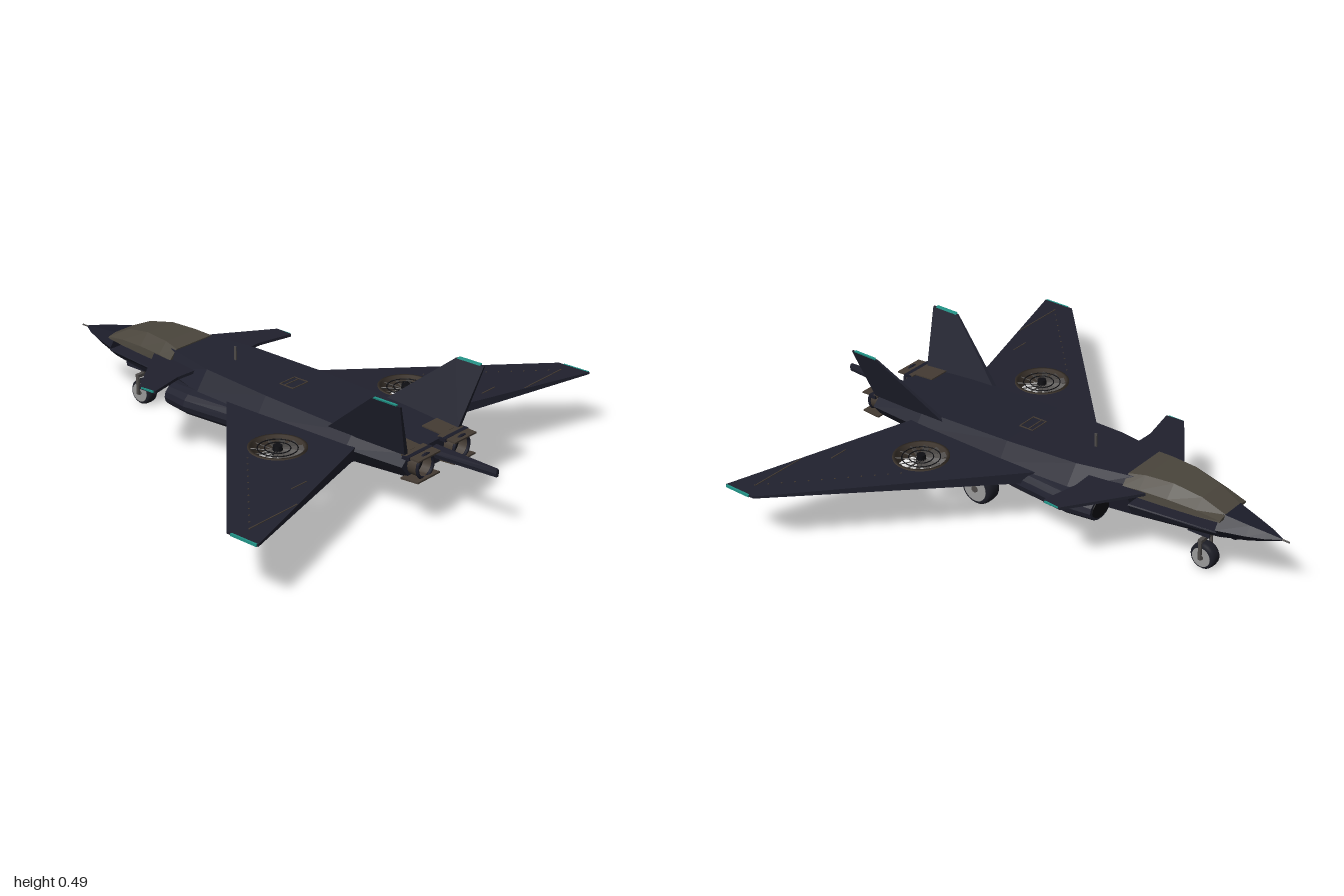
import * as THREE from 'three';

const mat = (name, color, side = THREE.FrontSide) => {
  const m = new THREE.MeshStandardMaterial({ color, side });
  m.name = name;
  return m;
};

export function createModel() {
  const hull = mat('hull navy', 0x20212e);
  const noseDark = mat('nose navy', 0x1b1c29);
  const glass = mat('canopy bronze', 0x4a453c);
  const metal = mat('exhaust bronze', 0x443b33, THREE.DoubleSide);
  const dark = mat('dark recess', 0x0e0e12);
  const teal = mat('teal light', 0x229488);
  const tire = mat('tire', 0x1c1d26);
  const rim = mat('wheel rim grey', 0x9a9a9a);
  const steel = mat('gear steel', 0x4d4a48, THREE.DoubleSide);

  const model = new THREE.Group();
  const add = (name, geo, material, x = 0, y = 0, z = 0) => {
    const m = new THREE.Mesh(geo, material);
    m.name = name;
    m.position.set(x, y, z);
    model.add(m);
    return m;
  };
  const box = (name, m, w, h, d, x, y, z) => add(name, new THREE.BoxGeometry(w, h, d), m, x, y, z);

  // Flat-faced skin through matching rings of points, capped at both ends
  const loft = (rings) => {
    const n = rings[0].length, tris = [];
    for (let i = 0; i + 1 < rings.length; i++) {
      for (let j = 0; j < n; j++) {
        const k = (j + 1) % n, a = rings[i], b = rings[i + 1];
        tris.push([a[j], b[j], b[k]], [a[j], b[k], a[k]]);
      }
    }
    const first = rings[0], last = rings[rings.length - 1];
    for (let j = 1; j + 1 < n; j++) {
      tris.push([first[0], first[j], first[j + 1]], [last[0], last[j + 1], last[j]]);
    }
    // Turn the faces outward whichever way the rings run
    let vol = 0;
    for (const [a, b, c] of tris) {
      vol += new THREE.Vector3(...a).dot(new THREE.Vector3(...b).cross(new THREE.Vector3(...c)));
    }
    const pos = tris.flatMap(t => (vol < 0 ? [t[0], t[2], t[1]] : t).flat());
    const g = new THREE.BufferGeometry();
    g.setAttribute('position', new THREE.Float32BufferAttribute(pos, 3));
    g.computeVertexNormals();
    return g;
  };
  // Six-sided ring: half widths at top, middle and bottom, then the heights
  const hex = ([z, t, m, b, yT, yM, yB]) =>
    [[-t, yT, z], [t, yT, z], [m, yM, z], [b, yB, z], [-b, yB, z], [-m, yM, z]];

  // Horizontal plate from x,z corners, top at y = 0
  const plate = (pts, depth, s, hole) => {
    const shape = new THREE.Shape(pts.map(([x, z]) => new THREE.Vector2(s * x, z)));
    if (hole) shape.holes.push(new THREE.Path().absarc(s * hole[0], hole[1], hole[2], 0, Math.PI * 2));
    return new THREE.ExtrudeGeometry(shape, { depth, bevelEnabled: false, curveSegments: 32 }).rotateX(Math.PI / 2);
  };

  // Fuselage, nose, cockpit tub and canopy
  add('fuselage', loft([
    [-0.42, 0.095, 0.128, 0.10, 0.322, 0.25, 0.17],
    [-0.20, 0.135, 0.19, 0.13, 0.313, 0.24, 0.165],
    [0.10, 0.15, 0.195, 0.14, 0.302, 0.235, 0.162],
    [0.50, 0.15, 0.19, 0.14, 0.285, 0.235, 0.17],
    [0.73, 0.13, 0.17, 0.13, 0.268, 0.23, 0.18]].map(hex)), hull);
  add('nose', loft([
    [-0.97, 0.002, 0.005, 0.002, 0.239, 0.235, 0.231],
    [-0.92, 0.015, 0.034, 0.015, 0.25, 0.234, 0.217],
    [-0.86, 0.03, 0.058, 0.03, 0.262, 0.233, 0.202],
    [-0.755, 0.05, 0.087, 0.05, 0.281, 0.23, 0.185]].map(hex)), noseDark);
  add('cockpitTub', loft([
    [-0.76, 0.085, 0.087, 0.05, 0.225, 0.22, 0.185],
    [-0.42, 0.125, 0.128, 0.10, 0.225, 0.22, 0.17]].map(hex)), hull);
  add('canopy', loft([
    [-0.77, 0.045, 0.08, 0.082, 0.278, 0.27, 0.264],
    [-0.68, 0.055, 0.094, 0.098, 0.318, 0.286, 0.264],
    [-0.57, 0.068, 0.108, 0.112, 0.338, 0.293, 0.264],
    [-0.46, 0.08, 0.12, 0.123, 0.335, 0.294, 0.264],
    [-0.395, 0.092, 0.128, 0.13, 0.325, 0.29, 0.264]].map(hex)), glass);
  for (const z of [-0.65, -0.53]) {
    box('seat', dark, 0.07, 0.014, 0.06, 0, 0.231, z);
    box('seatBack', dark, 0.06, 0.045, 0.015, 0, 0.245, z + 0.03);
  }
  add('pitotTube', new THREE.CylinderGeometry(0.003, 0.003, 0.06, 8).rotateX(Math.PI / 2), steel, 0, 0.235, -0.97);
  add('sensorBall', new THREE.SphereGeometry(0.026, 16, 12), noseDark, 0, 0.19, -0.785);
  box('antenna', steel, 0.005, 0.06, 0.01, 0, 0.335, -0.185);

  // Dorsal hatch outline
  for (const z of [0.07, 0.09, 0.13]) box('hatchLine', metal, 0.08, 0.003, 0.004, 0, 0.304 - (z - 0.07) * 0.035, z);
  for (const x of [-0.04, 0.04]) box('hatchLine', metal, 0.004, 0.003, 0.06, x, 0.303, 0.1);

  // Tail boom
  add('tailBoom', loft([
    [0.70, 0.022, 0.027, 0.022, 0.252, 0.236, 0.22],
    [1.0, 0.005, 0.008, 0.005, 0.25, 0.236, 0.222]].map(hex)), hull);

  for (const s of [1, -1]) {
    // Wing, thinning towards the tip, with an opening for the lift fan
    const wing = plate([[0.15, -0.09], [0.91, 0.62], [0.91, 0.755], [0.15, 0.525]], 1, s, [0.35, 0.335, 0.096]);
    const p = wing.attributes.position;
    for (let i = 0; i < p.count; i++) {
      const t = (Math.abs(p.getX(i)) - 0.15) / 0.76;
      p.setY(i, 0.246 - 0.004 * t + p.getY(i) * (0.045 - 0.037 * t));
    }
    wing.computeVertexNormals();
    add('wing', wing, hull);
    box('wingTipLight', teal, 0.007, 0.009, 0.11, s * 0.911, 0.238, 0.695);
    box('wingLine', metal, 0.23, 0.002, 0.004, s * 0.74, 0.244, 0.665);
    box('wingLine', metal, 0.075, 0.002, 0.004, s * 0.52, 0.245, 0.58);
    for (let i = 0; i < 12; i++) {
      box('rivet', metal, 0.005, 0.002, 0.005, s * (0.48 + i * 0.034), 0.2445, 0.265 + 0.032 * i + 0.05);
    }

    // Lift fan: duct, rim, hub and blades
    const duct = [[0.094, 0.19], [0.104, 0.19], [0.104, 0.248], [0.094, 0.248], [0.094, 0.19]];
    add('fanDuct', new THREE.LatheGeometry(duct.map(q => new THREE.Vector2(...q)), 32), metal, s * 0.35, 0, 0.335);
    add('fanHub', new THREE.CylinderGeometry(0.016, 0.02, 0.035, 16), dark, s * 0.35, 0.236, 0.335);
    for (let i = 0; i < 12; i++) {
      const g = new THREE.BoxGeometry(0.082, 0.003, 0.022).rotateX(0.6).translate(0.053, 0, 0);
      add('fanBlade', g.rotateY(i * Math.PI / 6), steel, s * 0.35, 0.23, 0.335);
    }
    for (const r of [0.045, 0.07]) {
      add('fanGuard', new THREE.TorusGeometry(r, 0.002, 6, 32).rotateX(Math.PI / 2), dark, s * 0.35, 0.243, 0.335);
    }

    // Canard
    add('canard', plate([[0.1, -0.5], [0.37, -0.31], [0.365, -0.235], [0.22, -0.265], [0.1, -0.26]], 0.011, s), hull, 0, 0.291);
    box('canardTipLight', teal, 0.006, 0.007, 0.06, s * 0.368, 0.287, -0.272);

    // Air intake
    const ring = ([z, cx, rx, ry]) => Array.from({ length: 14 }, (_, i) => {
      const a = i / 14 * Math.PI * 2;
      return [s * (cx + rx * Math.cos(a)), 0.195 + ry * Math.sin(a), z];
    });
    add('intake', loft([[-0.33, 0.165, 0.06, 0.045], [-0.22, 0.17, 0.072, 0.05],
      [0, 0.162, 0.062, 0.05], [0.25, 0.15, 0.05, 0.04], [0.5, 0.14, 0.04, 0.025]].map(ring)), hull);
    add('intakeMouth', loft([[-0.333, 0.165, 0.05, 0.036], [-0.329, 0.165, 0.05, 0.036]].map(ring)), dark);

    // Canted tail fin with a lit tip
    const fin = (x, y, z0, z1, w) => [[s * (x - w), y, z0], [s * (x + w), y, z0], [s * (x + w), y, z1], [s * (x - w), y, z1]];
    add('tailFin', loft([fin(0.148, 0.272, 0.39, 0.73, 0.009), fin(0.229, 0.482, 0.645, 0.765, 0.004)]), hull);
    add('tailFinLight', loft([fin(0.229, 0.481, 0.65, 0.75, 0.005), fin(0.231, 0.487, 0.655, 0.75, 0.005)]), teal);

    // Engine nozzle, vectoring paddles and heat panel
    add('nozzle', new THREE.CylinderGeometry(0.044, 0.04, 0.06, 20, 1, true).rotateX(Math.PI / 2), metal, s * 0.1, 0.227, 0.75);
    add('nozzleCore', new THREE.CircleGeometry(0.04, 20), dark, s * 0.1, 0.227, 0.735);
    add('nozzleRing', new THREE.TorusGeometry(0.043, 0.006, 8, 20), noseDark, s * 0.1, 0.227, 0.775);
    for (const [y, tilt] of [[0.268, 0.06], [0.186, -0.06]]) {
      box('vectorPaddle', metal, 0.12, 0.006, 0.075, s * 0.1, y, 0.755).rotation.x = tilt;
    }
    box('paddleHinge', noseDark, 0.13, 0.012, 0.03, s * 0.1, 0.266, 0.74);
    box('heatPanel', metal, 0.085, 0.005, 0.085, s * 0.1, 0.274, 0.678).rotation.x = 0.074;

    // Main gear leg and door
    box('mainLeg', steel, 0.014, 0.12, 0.016, s * 0.105, 0.125, 0.225);
    box('mainAxle', steel, 0.06, 0.014, 0.014, s * 0.125, 0.07, 0.225);
    const brace = box('mainBrace', steel, 0.01, 0.11, 0.01, s * 0.105, 0.13, 0.25);
    brace.rotation.x = 0.55;
    box('mainDoor', hull, 0.006, 0.04, 0.13, s * 0.09, 0.158, 0.23);

    // Nose gear fork
    box('noseFork', steel, 0.008, 0.08, 0.012, s * 0.034, 0.085, -0.665);
    box('noseDoor', hull, 0.005, 0.03, 0.09, s * 0.045, 0.172, -0.665);
  }

  // Wheels: rounded tire with a pale rim and dark cap
  const wheel = (name, x, z, r, w) => {
    const q = [[0.4, -0.5], [0.85, -0.5], [0.97, -0.36], [1, -0.15], [1, 0.15], [0.97, 0.36], [0.85, 0.5], [0.4, 0.5]];
    const tread = new THREE.LatheGeometry(q.map(([a, b]) => new THREE.Vector2(a * r, b * w)), 28);
    add(name + 'Tire', tread.rotateZ(Math.PI / 2), tire, x, r, z);
    add(name + 'Rim', new THREE.CylinderGeometry(r * 0.74, r * 0.74, w + 0.004, 24).rotateZ(Math.PI / 2), rim, x, r, z);
    add(name + 'Cap', new THREE.CylinderGeometry(r * 0.2, r * 0.2, w + 0.01, 12).rotateZ(Math.PI / 2), steel, x, r, z);
  };
  wheel('leftWheel', 0.153, 0.225, 0.069, 0.066);
  wheel('rightWheel', -0.153, 0.225, 0.069, 0.066);
  wheel('noseWheel', 0, -0.665, 0.05, 0.05);
  box('noseYoke', steel, 0.076, 0.012, 0.016, 0, 0.122, -0.665);
  box('noseLeg', steel, 0.016, 0.07, 0.016, 0, 0.155, -0.665);

  return model;
}
